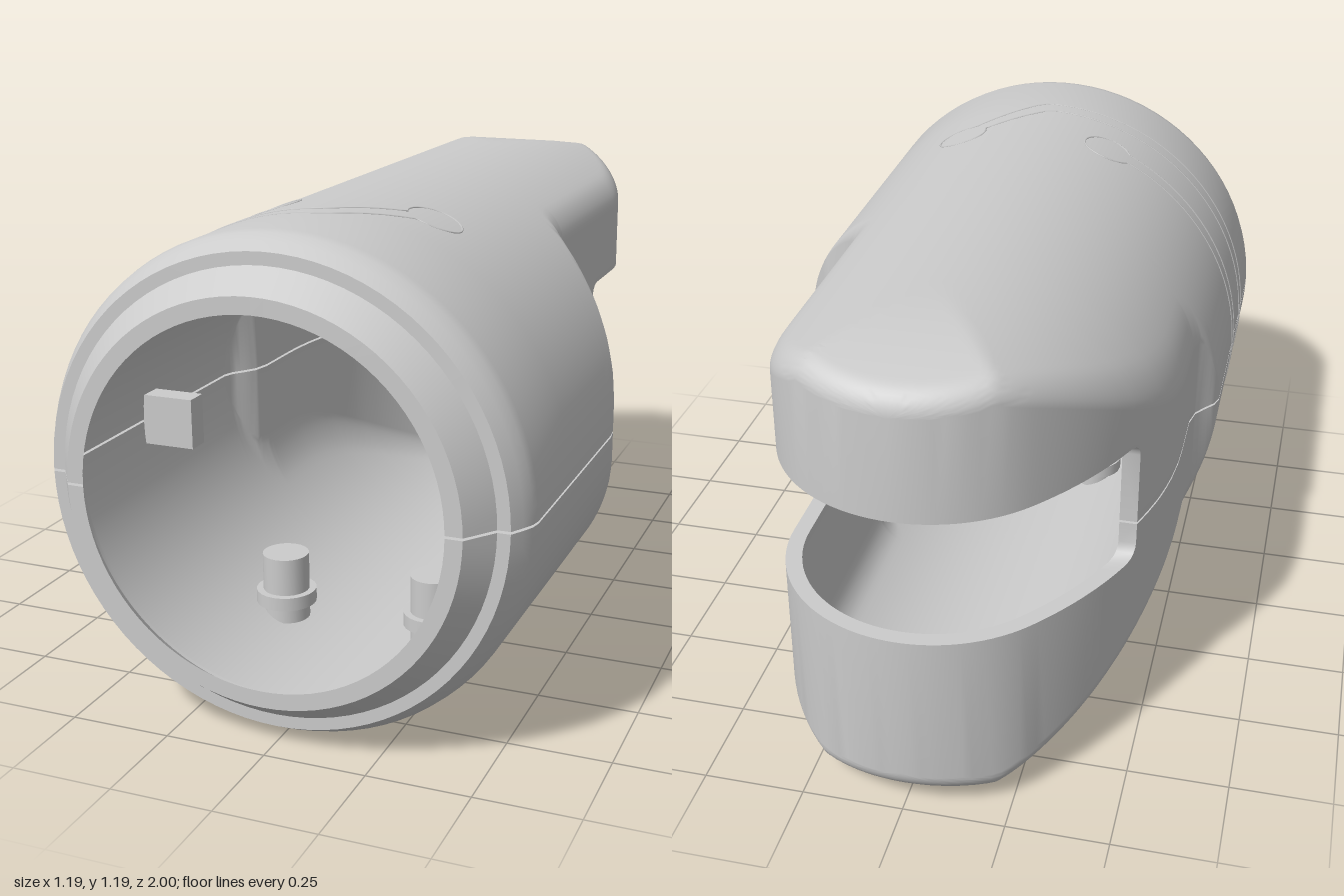
import * as THREE from 'three';
import { toCreasedNormals } from 'three/addons/utils/BufferGeometryUtils.js';

const C = 0.593, R = 0.593, WALL = 0.04, GAP = 0.003, N = 44;
const TIP_Z = -0.63, TIP_R = 0.37;             // round end of the plan outline
const ARC_X = 0.498, ARC_Z = -0.2, ARC_R = 1.028; // long sweep on the right-hand side
const clamp = (v, a = 0, b = 1) => Math.min(b, Math.max(a, v));
const root = (v) => Math.sqrt(Math.max(0, v));

// plan outline ahead of the curved end, as [z, x]
const LEFT_SIDE = [[1, R], [0.23, R], [0.19, 0.588], [0.16, 0.575], [0.13, 0.55], [0.03, 0.43], [0, 0.4], [-0.03, 0.382], [-0.08, 0.37], [-2, 0.37]];
const RIGHT_SIDE = [[1, -R], [0.09, -R], [0.06, -0.583], [0.03, -0.56], [0, -0.54], [-0.05, -0.53], [-2, -0.53]];
function lookup(list, z) {
  const k = Math.max(1, list.findIndex((p) => p[0] <= z));
  const [a, b] = [list[k - 1], list[k]];
  return a[1] + (b[1] - a[1]) * (a[0] - z) / (a[0] - b[0]);
}

function xMax(z, t) {
  return z < TIP_Z ? root((TIP_R - t) ** 2 - (z - TIP_Z) ** 2) : lookup(LEFT_SIDE, z) - t;
}
function xMin(z, t) {
  if (z < TIP_Z - 0.653 * (TIP_R - t)) return -root((TIP_R - t) ** 2 - (z - TIP_Z) ** 2);
  if (z < ARC_Z) return ARC_X - root((ARC_R - t) ** 2 - (z - ARC_Z) ** 2);
  return lookup(RIGHT_SIDE, z) + t;
}
// distance inward from the plan outline
function inset(x, z, t, lo, hi) {
  const dl = z < ARC_Z ? ARC_R - t - Math.hypot(x - ARC_X, z - ARC_Z) : x - lo;
  if (z >= TIP_Z) return Math.min(dl, hi - x);
  const inTip = x > -1.158 * (TIP_Z - z);
  return inTip ? Math.min(dl, TIP_R - t - Math.hypot(x, z - TIP_Z)) : dl;
}
// lower rim of a half shell: seam ahead of the slot, slot edge with a round corner behind
function rim(z, start, height) {
  const s = start - z, r = 0.04;
  if (s <= 0) return GAP;
  return s < r ? height - r + root(r * r - (r - s) ** 2) : height;
}

// one cross-section, from left rim over the crown to right rim
function section(z, rad, t, slot, zRim) {
  const hi = Math.min(xMax(z, t), rad), lo = Math.max(xMin(z, t), -rad);
  const eL = rim(zRim, -0.41, slot), eR = rim(zRim, -0.55, slot);
  const f = 0.05 * clamp((0.1 - z) / 0.15);
  const crown = R - t - 0.06 * clamp((-0.58 - z) / 0.42) ** 2;
  const pts = [[hi, eL, z]];
  for (let i = 0; i <= N; i++) {
    const x = (hi + lo) / 2 + (hi - lo) / 2 * Math.cos(Math.PI * i / N);
    const d = clamp(inset(x, z, t, lo, hi), 0, f);
    const h = Math.min(root(rad * rad - x * x), crown) - (f - root(f * f - (f - d) ** 2));
    pts.push([x, Math.max(h, i < N / 2 ? eL : eR), z]);
  }
  pts.push([lo, eR, z]);
  return pts;
}

// stations: [outer z, outer radius, inner z, inner radius]
function stations() {
  const list = [[1, 0.475, 1, 0.435], [0.93, 0.527, 0.93, 0.485], [0.93, 0.557, 0.92, 0.485],
    [0.9, 0.575, 0.9, 0.55], [0.875, 0.588, 0.875, R - WALL], [0.85, R, 0.85, R - WALL]];
  const zs = [0.6, 0.4];
  for (let z = 0.25; z > -0.11; z -= 0.01) zs.push(z);
  zs.push(-0.2, -0.26, -0.33, -0.38);
  for (const s of [-0.41, -0.55]) for (const d of [0, 0.0001, 0.003, 0.01, 0.02, 0.04]) zs.push(s - d);
  zs.push(-0.5);
  zs.sort((a, b) => b - a);
  for (let i = 0; i <= 24; i++) zs.push(TIP_Z - TIP_R * Math.sin(i / 24 * Math.PI / 2));
  const squeeze = (TIP_R - WALL) / TIP_R;
  for (const z of zs) list.push([z, R, z < TIP_Z ? TIP_Z + (z - TIP_Z) * squeeze : z, R - WALL]);
  return list;
}

// half shell with wall thickness; sign +1 is the upper half, -1 the lower
function shellGeometry(sign, slot) {
  const st = stations(), pos = [];
  const outer = st.map((s) => section(s[0], s[1], 0, slot, s[0]));
  const inner = st.map((s) => section(s[2], s[3], WALL, slot, s[0]));
  const va = new THREE.Vector3(), vb = new THREE.Vector3();
  const tri = (a, b, c) => {
    va.set(b[0] - a[0], b[1] - a[1], b[2] - a[2]);
    vb.set(c[0] - a[0], c[1] - a[1], c[2] - a[2]);
    if (va.cross(vb).length() < 1e-10) return;
    for (const p of sign > 0 ? [a, b, c] : [a, c, b]) pos.push(p[0], C + sign * p[1], p[2]);
  };
  const quad = (a, b, c, d) => { tri(a, b, c); tri(a, c, d); };
  const last = N + 2;
  for (let j = 0; j < st.length - 1; j++) {
    const [o, p, q, r] = [outer[j], outer[j + 1], inner[j], inner[j + 1]];
    for (let i = 0; i < last; i++) {
      quad(o[i], p[i], p[i + 1], o[i + 1]);
      quad(q[i], q[i + 1], r[i + 1], r[i]);
    }
    quad(o[0], q[0], r[0], p[0]);
    quad(o[last], p[last], r[last], q[last]);
  }
  for (let i = 0; i < last; i++) quad(outer[0][i], outer[0][i + 1], inner[0][i + 1], inner[0][i]);
  const g = new THREE.BufferGeometry();
  g.setAttribute('position', new THREE.Float32BufferAttribute(pos, 3));
  return toCreasedNormals(g, 0.5);
}

// fine outline of a round button and its strip, wrapped over the barrel; arc angles in degrees
function buttonOutline(before, centre, from, to, after, sign) {
  const flat = [...before];
  for (let i = 0; i <= 20; i++) {
    const a = (from + (to - from) * i / 20) * Math.PI / 180;
    flat.push([centre[0] + 0.065 * Math.cos(a), centre[1] + 0.065 * Math.sin(a)]);
  }
  flat.push(...after);
  const path = new THREE.CurvePath();
  const wrap = ([x, z]) => [Math.asin(clamp(x / R, -1, 1)), z];
  for (let k = 0; k < flat.length - 1; k++) {
    const [a, b] = [wrap(flat[k]), wrap(flat[k + 1])];
    const steps = Math.max(1, Math.ceil(Math.abs(b[0] - a[0]) / 0.06));
    for (let s = 0; s < steps; s++) {
      const at = (u) => {
        const w = a[0] + (b[0] - a[0]) * u;
        return new THREE.Vector3(R * Math.sin(w), C + sign * R * Math.cos(w), a[1] + (b[1] - a[1]) * u);
      };
      path.add(new THREE.LineCurve3(at(s / steps), at((s + 1) / steps)));
    }
  }
  return new THREE.TubeGeometry(path, 180, 0.0025, 5);
}

export function createModel() {
  const group = new THREE.Group();
  const mat = new THREE.MeshStandardMaterial({ color: 0xcccccc });
  const add = (name, geo, x = 0, y = 0, z = 0) => {
    const m = new THREE.Mesh(geo, mat);
    m.name = name;
    m.position.set(x, y, z);
    group.add(m);
  };

  add('upperShell', shellGeometry(1, 0.228));
  add('lowerShell', shellGeometry(-1, 0.095));

  for (const sign of [1, -1]) {
    const side = sign > 0 ? 'upper' : 'lower';
    // button outlines with their flexible strips
    add(side + 'ShortButtonOutline', buttonOutline([[-R, 0.415], [-0.27, 0.415]], [-0.21, 0.44], 203, 517,
      [[-0.27, 0.465], [-R, 0.465]], sign));
    add(side + 'LongButtonOutline', buttonOutline([[-R, 0.605], [-0.03, 0.605], [0, 0.595]], [0.205, 0.44], 155, 470,
      [[0.03, 0.645], [0, 0.66], [-R, 0.66]], sign));
    // posts under the buttons
    for (const x of [-0.205, 0.205]) {
      add(side + 'ButtonPost', new THREE.CylinderGeometry(0.06, 0.06, 0.175, 24), x, C + sign * 0.4325, 0.44);
      add(side + 'PostCollar', new THREE.CylinderGeometry(0.078, 0.078, 0.035, 24), x, C + sign * 0.46, 0.44);
    }
  }

  // locating tabs inside the seam
  add('rearTab', new THREE.BoxGeometry(0.09, 0.13, 0.07), 0.375, 0.597, 0.075);
  add('rightTab', new THREE.BoxGeometry(0.14, 0.13, 0.06), -0.485, 0.597, 0.5);
  add('leftTab', new THREE.BoxGeometry(0.11, 0.065, 0.06), 0.495, 0.56, 0.8);
  return group;
}
